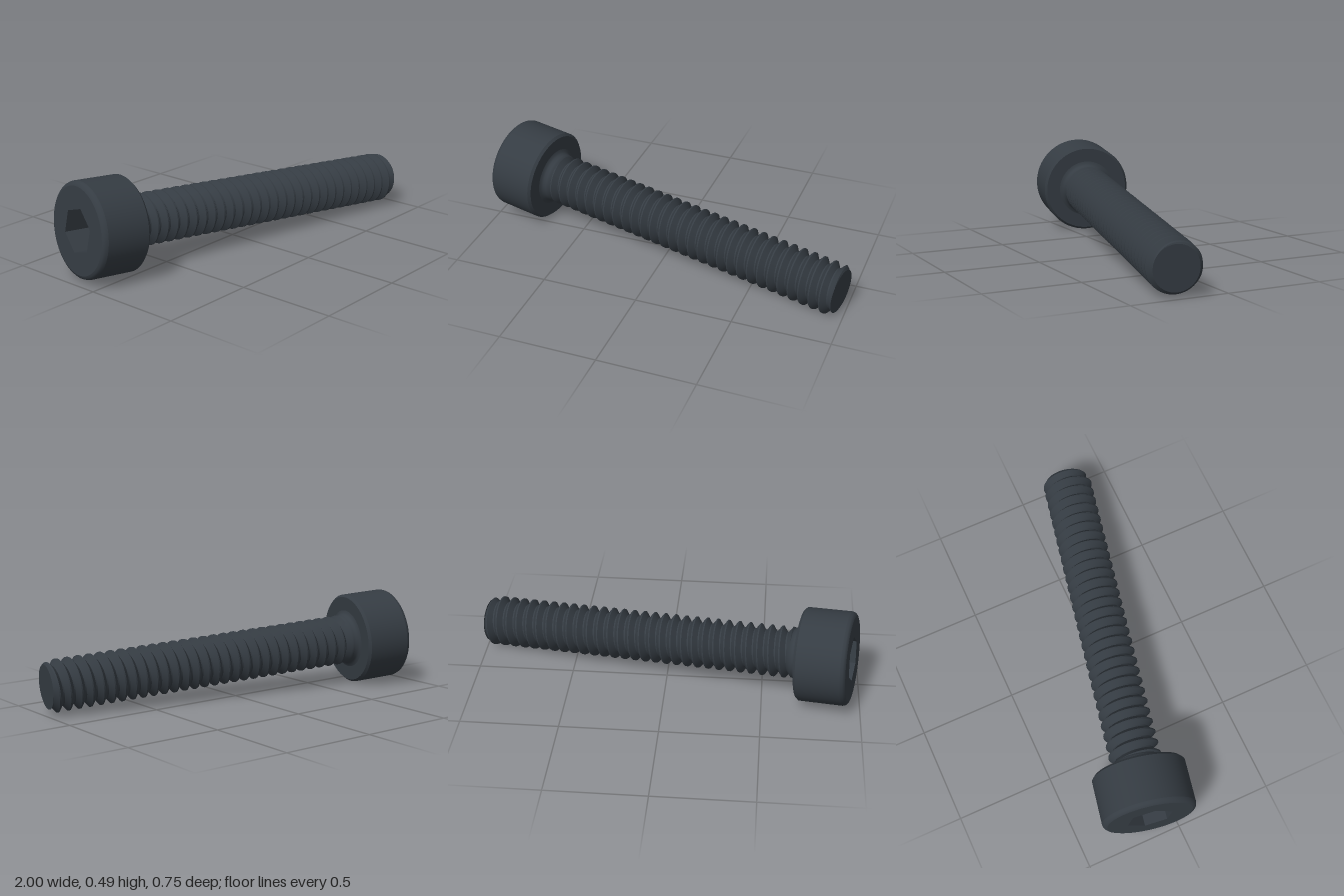
import * as THREE from 'three';
import { mergeGeometries } from 'three/addons/utils/BufferGeometryUtils.js';

const HEAD_LEN = 0.26, HEAD_R = 0.239, FACE_R = 0.217;
const HEX_R = 0.118, HEX_DEPTH = 0.13;
const CREST_R = 0.132, ROOT_R = 0.103, TIP_R = 0.112, PITCH = 0.057;

// Lathe each band on its own so the edges between bands stay sharp
function bands(...profiles) {
  return mergeGeometries(profiles.map((p) =>
    new THREE.LatheGeometry(p.map(([r, y]) => new THREE.Vector2(r, y)), 72)));
}

// Right-hand helical thread from y0 to y1, one smooth strip per flank
function threadGeometry(y0, y1) {
  const seg = 56;
  const profile = [[0, ROOT_R], [0.12, ROOT_R], [0.5, CREST_R], [0.62, CREST_R], [1, ROOT_R]];
  const turns = Math.ceil((y1 - y0) / PITCH) + 1;
  const strips = [];
  for (let f = 0; f < profile.length - 1; f++) {
    const pos = [], idx = [];
    for (let i = 0; i <= turns * seg; i++) {
      const a = (i / seg) * Math.PI * 2;
      for (const [u, radius] of [profile[f], profile[f + 1]]) {
        const y = THREE.MathUtils.clamp(y0 + (i / seg - 1 + u) * PITCH, y0, y1);
        // crests fade out at the neck and are chamfered at the tip
        const r = Math.min(radius, TIP_R + (y1 - y) * 0.8, ROOT_R + (y - y0) * 1.5);
        pos.push(r * Math.sin(a), y, r * Math.cos(a));
      }
      if (i > 0) {
        const k = i * 2;
        idx.push(k - 2, k, k + 1, k - 2, k + 1, k - 1);
      }
    }
    const g = new THREE.BufferGeometry();
    g.setAttribute('position', new THREE.Float32BufferAttribute(pos, 3));
    g.setIndex(idx);
    g.computeVertexNormals();
    strips.push(g);
  }
  return mergeGeometries(strips);
}

export function createModel() {
  const group = new THREE.Group();
  const steel = new THREE.MeshStandardMaterial({ color: 0x353c43 });
  steel.name = 'blackened steel';
  const add = (name, geometry) => {
    const mesh = new THREE.Mesh(geometry, steel);
    mesh.name = name;
    group.add(mesh);
    return mesh;
  };

  // Axis runs from the centre of the socket face to the centre of the tip
  const start = new THREE.Vector3(-0.949, 0.256, -0.148);
  const end = new THREE.Vector3(0.976, 0.14, 0.256);
  const length = start.distanceTo(end);

  // Head: rounded socket edge, side, chamfer and underside
  const side = HEAD_LEN - 0.013;
  add('head', bands(
    [[FACE_R, 0], [0.227, 0.004], [0.235, 0.012], [HEAD_R, 0.024]],
    [[HEAD_R, 0.024], [HEAD_R, side]],
    [[HEAD_R, side], [0.227, HEAD_LEN]],
    [[0.227, HEAD_LEN], [0.154, HEAD_LEN]],
  ));

  // Socket face with hexagonal recess
  const face = new THREE.Shape().absarc(0, 0, FACE_R, 0, Math.PI * 2);
  const hex = Array.from({ length: 6 }, (_, i) => new THREE.Vector2(
    HEX_R * Math.cos(i * Math.PI / 3), HEX_R * Math.sin(i * Math.PI / 3)));
  face.holes.push(new THREE.Path(hex));
  add('hexSocket', new THREE.ExtrudeGeometry(face,
    { depth: HEX_DEPTH, bevelEnabled: false, curveSegments: 36 }).rotateX(-Math.PI / 2));
  add('socketFloor', new THREE.CircleGeometry(HEX_R + 0.005, 6).rotateX(Math.PI / 2))
    .position.y = HEX_DEPTH - 0.001;

  // Filleted neck under the head
  add('neck', bands(
    [[0.154, HEAD_LEN], [0.142, 0.264], [0.134, 0.272], [0.13, 0.285]],
    [[0.13, 0.285], [0.128, 0.3], [ROOT_R, 0.322]],
  ));

  // Threaded shank and flat tip
  add('thread', threadGeometry(0.29, length));
  add('tip', new THREE.CircleGeometry(TIP_R, 56).rotateX(-Math.PI / 2)).position.y = length;

  // Lay the screw along its slanted axis
  const screw = new THREE.Group();
  screw.name = 'screw';
  screw.add(...group.children.slice());
  screw.position.copy(start);
  screw.quaternion.setFromUnitVectors(new THREE.Vector3(0, 1, 0), end.clone().sub(start).normalize());
  group.add(screw);
  return group;
}
